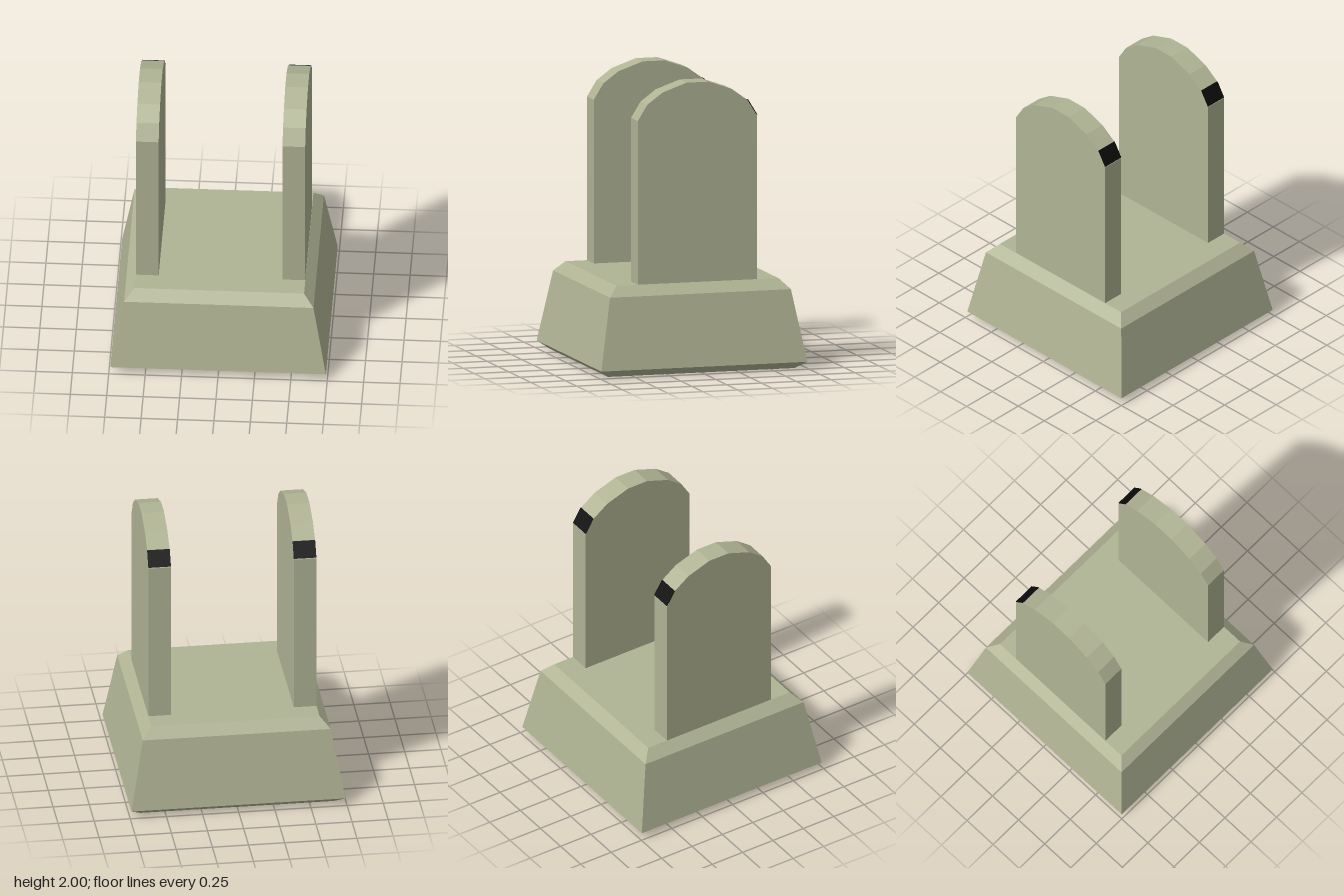
import * as THREE from 'three';

const olive = new THREE.MeshStandardMaterial({ color: 0xb0b494 });
olive.name = 'pale olive';
const black = new THREE.MeshStandardMaterial({ color: 0x0b0c0a });
black.name = 'black';

function addMesh(parent, name, geometry, material) {
  const mesh = new THREE.Mesh(geometry, material);
  mesh.name = name;
  parent.add(mesh);
  return mesh;
}

// Square tapered block with bevelled rims: a four-sided lathe of half widths
function plinthGeometry() {
  const profile = [[0, 0], [0.67, 0], [0.74, 0.05], [0.65, 0.545], [0.582, 0.615], [0, 0.615]];
  const points = profile.map(([half, y]) => new THREE.Vector2(half * Math.SQRT2, y));
  const geometry = new THREE.LatheGeometry(points, 4, Math.PI / 4).toNonIndexed();
  geometry.computeVertexNormals();
  return geometry;
}

// Half outline of an upright, from the base edge up to the crown: [z, y]
const outline = [[0.428, 0.6], [0.428, 1.75], [0.36, 1.86], [0.25, 1.94], [0.078, 2]];
const thickness = 0.156;

function uprightGeometry() {
  const mirrored = outline.map(([z, y]) => [-z, y]).reverse();
  const shape = new THREE.Shape([...outline, ...mirrored].map(([z, y]) => new THREE.Vector2(z, y)));
  const geometry = new THREE.ExtrudeGeometry(shape, { depth: thickness, bevelEnabled: false });
  geometry.translate(0, 0, -thickness / 2);
  geometry.rotateY(-Math.PI / 2);
  return geometry;
}

export function createModel() {
  const model = new THREE.Group();
  model.name = 'bracket';
  addMesh(model, 'plinth', plinthGeometry(), olive);

  // Dark strip on the lowest rear facet of the rounded top
  const [z0, y0] = outline[1];
  const [z1, y1] = outline[2];
  const slope = Math.atan2(y1 - y0, z0 - z1);
  const length = Math.hypot(y1 - y0, z0 - z1) - 0.008;

  for (const [side, name] of [[1, 'left'], [-1, 'right']]) {
    const upright = new THREE.Group();
    upright.name = name + 'Upright';
    upright.position.x = side * 0.503;
    addMesh(upright, 'plate', uprightGeometry(), olive);
    const strip = addMesh(upright, 'rearStrip', new THREE.BoxGeometry(thickness, 0.005, length), black);
    strip.position.set(0, (y0 + y1) / 2 + 0.003, -(z0 + z1) / 2 - 0.002);
    strip.rotation.x = -slope;
    model.add(upright);
  }
  return model;
}
